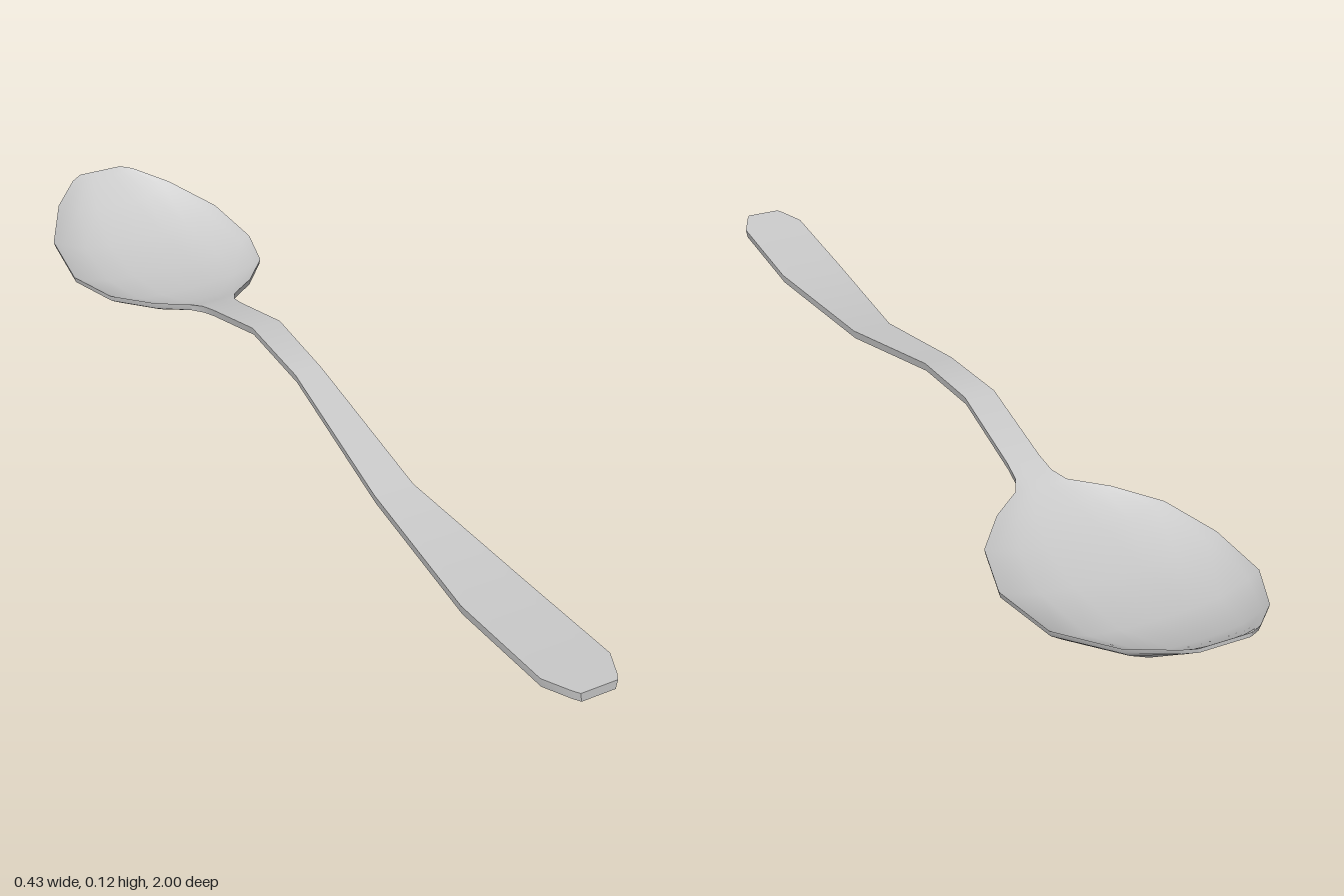
import * as THREE from 'three';
import { toCreasedNormals } from 'three/addons/utils/BufferGeometryUtils.js';

// Cross-sections from bowl tip to handle end: z, half width, edge height, hollow depth, thickness
const SECTIONS = [
  [-1.0, 0.05, 0.115, 0.0, 0.008],
  [-0.985, 0.075, 0.111, 0.008, 0.009],
  [-0.92, 0.138, 0.09, 0.03, 0.01],
  [-0.8, 0.2, 0.065, 0.042, 0.011],
  [-0.65, 0.213, 0.05, 0.035, 0.012],
  [-0.53, 0.18, 0.053, 0.029, 0.012],
  [-0.45, 0.115, 0.058, 0.018, 0.013],
  [-0.4, 0.052, 0.062, 0.004, 0.014],
  [-0.37, 0.037, 0.069, 0, 0.016],
  [-0.33, 0.033, 0.079, 0, 0.016],
  [-0.15, 0.031, 0.125, 0, 0.016],
  [0.03, 0.029, 0.11, 0, 0.017],
  [0.36, 0.041, 0.032, 0, 0.018],
  [0.7, 0.068, 0.021, 0, 0.018],
  [0.935, 0.068, 0.037, 0, 0.018],
  [0.985, 0.045, 0.041, 0, 0.018],
  [1.0, 0.036, 0.042, 0, 0.018],
];

// Position across the width, and how much of the hollow depth applies there
const HALF = [[1, 0], [0.9, 0.3], [0.63, 0.8], [0.33, 0.96], [0, 1]];
const ACROSS = [
  ...HALF.map(([u, d]) => [-u, d]),
  ...HALF.slice(0, -1).reverse(),
];

function loftSpoon() {
  const n = ACROSS.length, ring = 2 * n;
  const positions = [], index = [];

  for (const [z, w, edge, depth, thick] of SECTIONS) {
    // upper face left to right, then underside back again
    for (const [u, d] of ACROSS) positions.push(u * w, edge - depth * d, z);
    for (const [u, d] of [...ACROSS].reverse()) {
      positions.push(u * (w - 0.003), edge - thick - depth * d, z);
    }
  }

  // skin between neighbouring sections
  for (let i = 0; i < SECTIONS.length - 1; i++) {
    for (let j = 0; j < ring; j++) {
      const k = (j + 1) % ring;
      const a = i * ring + j, b = i * ring + k;
      const c = a + ring, d = b + ring;
      index.push(a, c, b, b, c, d);
    }
  }

  // flat caps at the bowl tip and the handle end
  const last = (SECTIONS.length - 1) * ring;
  for (let j = 0; j < n - 1; j++) {
    const t = j, t2 = j + 1, b = ring - 1 - j, b2 = ring - 2 - j;
    index.push(t, b2, b, t, t2, b2);
    index.push(last + t, last + b, last + b2, last + t, last + b2, last + t2);
  }

  const geometry = new THREE.BufferGeometry();
  geometry.setAttribute('position', new THREE.Float32BufferAttribute(positions, 3));
  geometry.setIndex(index);
  return toCreasedNormals(geometry, 0.75);
}

export function createModel() {
  const group = new THREE.Group();
  group.name = 'spoon';
  const material = new THREE.MeshStandardMaterial({ color: 0xcccccc });
  const body = new THREE.Mesh(loftSpoon(), material);
  body.name = 'bowlAndHandle';
  group.add(body);
  return group;
}
